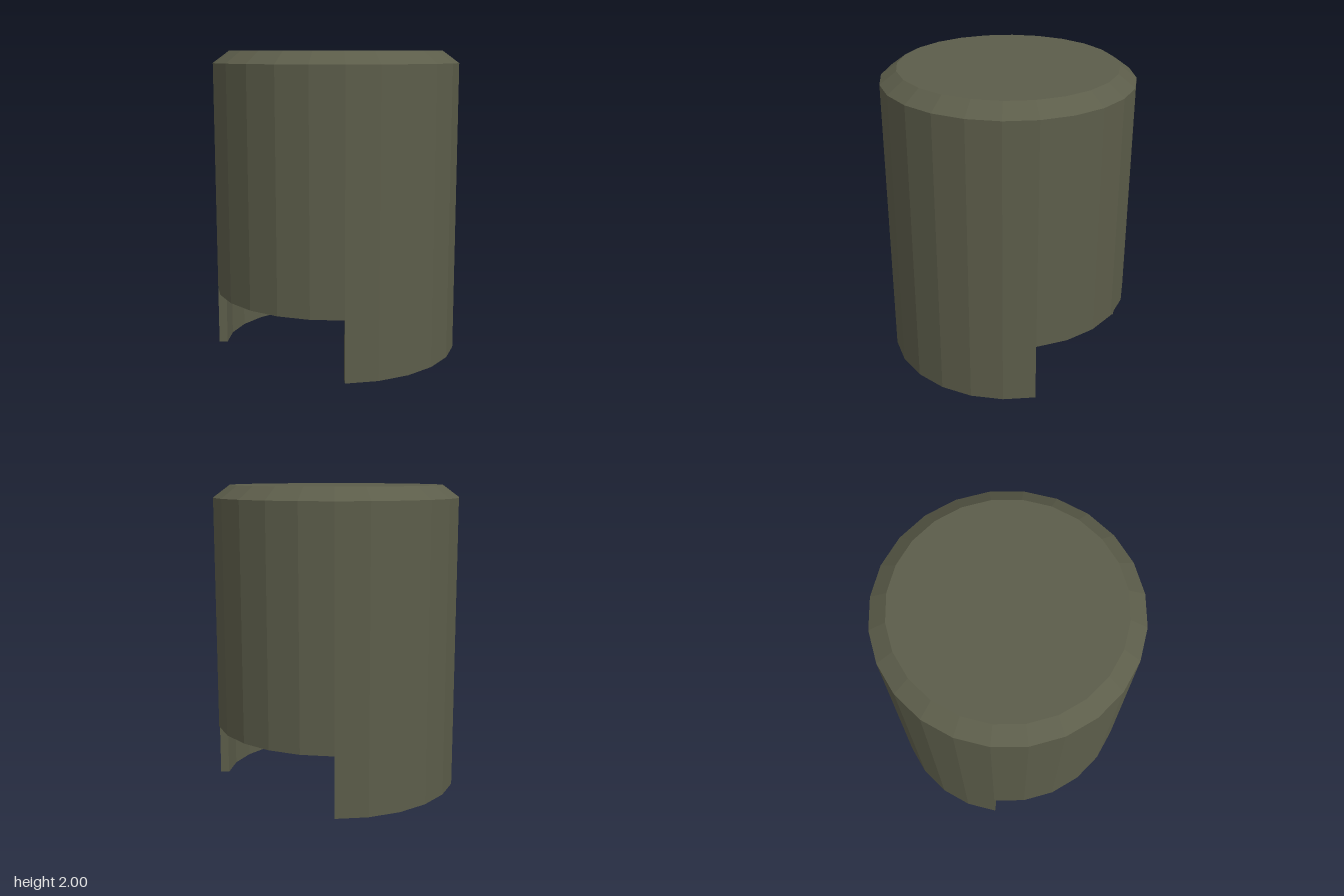
import * as THREE from 'three';

const OUTER = 0.813, INNER = 0.757, NOTCH = 0.4;

export function createModel() {
  const model = new THREE.Group();
  model.name = 'cap';
  const olive = new THREE.MeshStandardMaterial({ color: 0x5c5d4a, flatShading: true });
  olive.name = 'olive';

  // Hollow wall with bevelled lid, one quarter turn, ending at the given height
  const quarter = (phi, bottom) => {
    const profile = [
      [0, 1.92], [INNER, 1.92], [INNER, bottom], [OUTER, bottom],
      [OUTER, 1.92], [0.705, 2], [0, 2],
    ].map(([r, y]) => new THREE.Vector2(r, y));
    const geometry = new THREE.LatheGeometry(profile, 6, phi, Math.PI / 2).toNonIndexed();
    geometry.computeVertexNormals();
    return new THREE.Mesh(geometry, olive);
  };

  for (let i = 0; i < 4; i++) {
    const phi = Math.PI / 4 + i * Math.PI / 2;
    const isLeg = i % 2 === 0; // the quarters facing +x and -x reach the ground
    const wall = quarter(phi, isLeg ? 0 : NOTCH);
    wall.name = isLeg ? 'legQuarter' : 'notchedQuarter';
    model.add(wall);

    // Cut face of the leg, turned toward the notch beside it
    const cut = new THREE.Mesh(new THREE.PlaneGeometry(OUTER - INNER, NOTCH), olive);
    const mid = (OUTER + INNER) / 2;
    cut.name = 'notchSide';
    cut.position.set(mid * Math.sin(phi), NOTCH / 2, mid * Math.cos(phi));
    cut.rotation.y = phi + (isLeg ? -1 : 1) * Math.PI / 2;
    model.add(cut);
  }
  return model;
}
